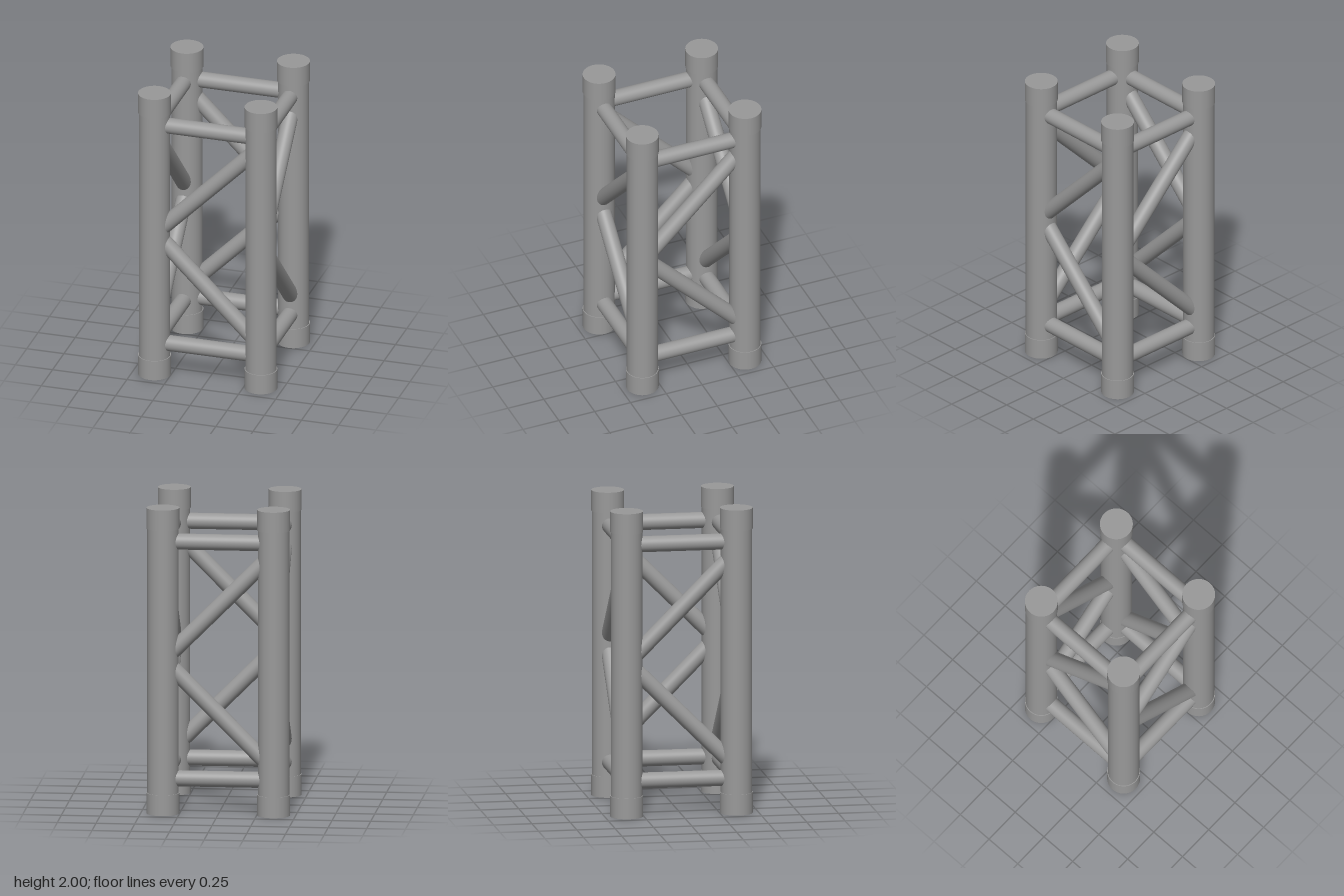
import * as THREE from 'three';

const HALF = 0.358;     // post axis distance from centre
const POST_R = 0.101, COLLAR_R = 0.106, COLLAR_H = 0.135, HEIGHT = 2;
const BAR_R = 0.052;

export function createModel() {
  const metal = new THREE.MeshStandardMaterial({ color: 0x999999 });
  metal.name = 'grey metal';
  const model = new THREE.Group();
  model.name = 'squareTruss';

  function cylinder(name, radius, height, y, parent) {
    const mesh = new THREE.Mesh(new THREE.CylinderGeometry(radius, radius, height, 48), metal);
    mesh.name = name;
    mesh.position.y = y;
    parent.add(mesh);
    return mesh;
  }

  // straight bar on a side's plane; rise is the height change from left to right
  function bar(name, y, rise, parent) {
    const mesh = cylinder(name, BAR_R, Math.hypot(2 * HALF, rise), y, parent);
    mesh.position.z = HALF;
    mesh.rotation.z = Math.atan2(rise, 2 * HALF) - Math.PI / 2;
  }

  // four identical sides, each with one corner post and its bracing
  for (let i = 0; i < 4; i++) {
    const side = new THREE.Group();
    side.name = 'side' + (i + 1);
    side.rotation.y = i * Math.PI / 2;
    model.add(side);

    const post = new THREE.Group();
    post.name = 'cornerPost';
    post.position.set(HALF, 0, HALF);
    side.add(post);
    cylinder('postTube', POST_R, HEIGHT - 2 * COLLAR_H, HEIGHT / 2, post);
    cylinder('bottomCollar', COLLAR_R, COLLAR_H, COLLAR_H / 2, post);
    cylinder('topCollar', COLLAR_R, COLLAR_H, HEIGHT - COLLAR_H / 2, post);

    bar('lowerRail', 0.23, 0, side);
    bar('upperRail', 1.78, 0, side);
    bar('lowerDiagonal', 0.655, -2 * HALF, side);
    bar('upperDiagonal', 1.355, 2 * HALF, side);
  }
  return model;
}
